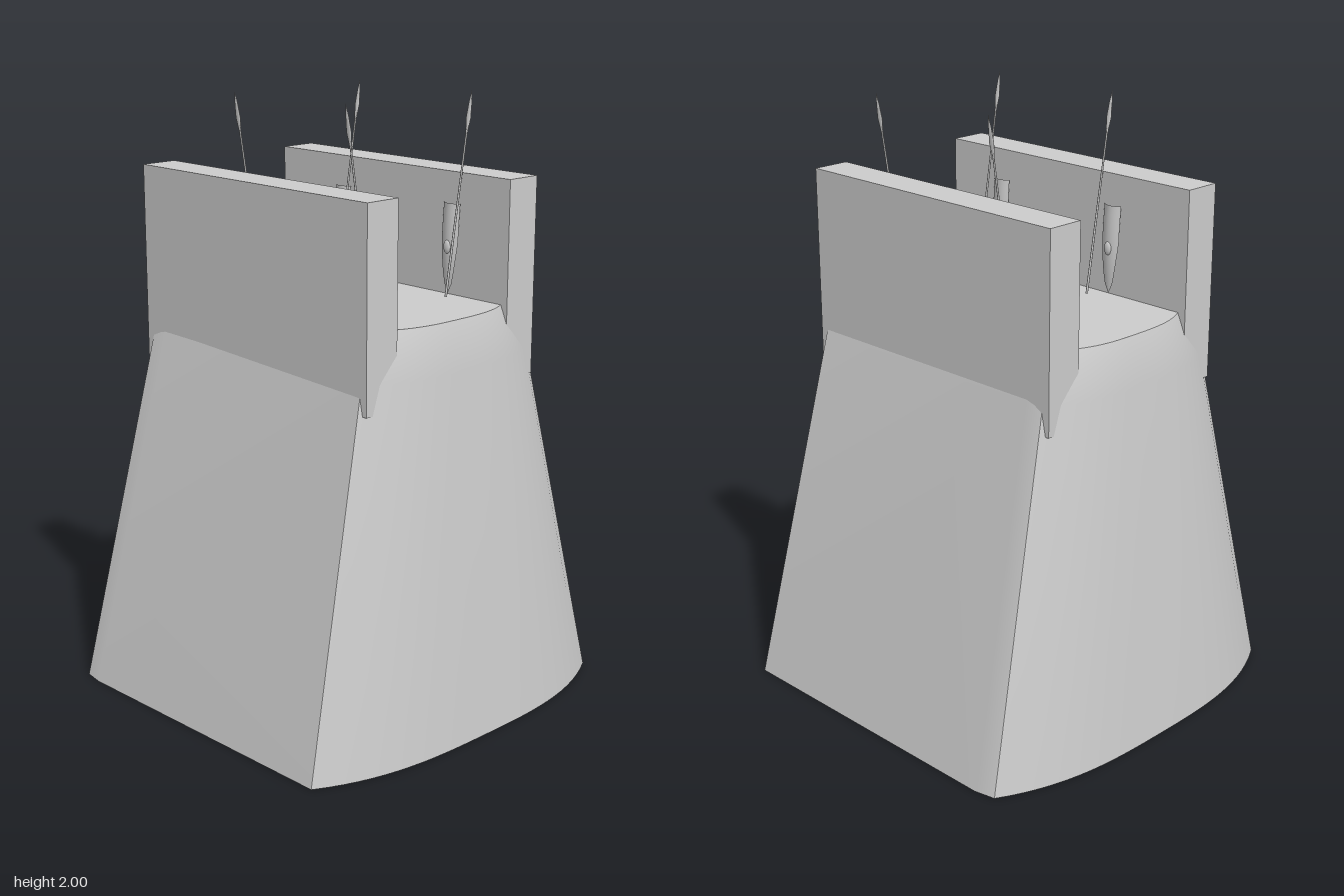
import * as THREE from 'three';

const stone = new THREE.MeshStandardMaterial({ color: 0xcccccc, side: THREE.DoubleSide });
stone.name = 'pale grey';

function add(parent, name, geometry) {
  const mesh = new THREE.Mesh(geometry, stone);
  mesh.name = name;
  parent.add(mesh);
  return mesh;
}

// Surface through a grid of points: u runs along a row, v from row to row
function gridSurface(rows) {
  const n = rows[0].length, positions = [], index = [];
  rows.forEach(row => row.forEach(p => positions.push(...p)));
  for (let j = 0; j < rows.length - 1; j++) {
    for (let i = 0; i < n - 1; i++) {
      const a = j * n + i, b = a + 1, c = b + n, d = a + n;
      index.push(a, b, c, a, c, d);
    }
  }
  const g = new THREE.BufferGeometry();
  g.setAttribute('position', new THREE.Float32BufferAttribute(positions, 3));
  g.setIndex(index);
  g.computeVertexNormals();
  return g;
}

// Levels of the tapered body: height, side bulge, corner x, corner z
const levels = [
  { y: 0, bulge: 0.683, cx: 0.56, cz: 0.66 },
  { y: 1.19, bulge: 0.58, cx: 0.49, cz: 0.378 },
  { y: 1.34, bulge: 0.535, cx: 0.46, cz: 0.3 },
];
// Front and back edges as fractions of the corner size, slightly uneven
const frontEdge = [[-1, 0.977], [-0.875, 0.993], [1, 0.967]];
const backEdge = [[1, -1], [-0.875, -1], [-1, -0.977]];

const edgeRow = (edge, l) => edge.map(([x, z]) => [x * l.cx, l.y, z * l.cz]);

// Bulging side, sign gives the direction of x
function sideRow(sign, from, to, l) {
  const row = [], steps = 28;
  for (let i = 0; i <= steps; i++) {
    const k = i / steps, t = from + (to - from) * k;
    const m = Math.abs(2 * k - 1);
    row.push([sign * (l.bulge - (l.bulge - l.cx) * m ** 3), l.y, t * l.cz]);
  }
  return row;
}

function buildBody() {
  const body = new THREE.Group();
  body.name = 'towerBody';
  const panels = {
    frontWall: l => edgeRow(frontEdge, l),
    leftWall: l => sideRow(1, 0.967, -1, l),
    backWall: l => edgeRow(backEdge, l),
    rightWall: l => sideRow(-1, -0.977, 0.977, l),
  };
  for (const [name, row] of Object.entries(panels)) add(body, name, gridSurface(levels.map(row)));

  // Flat platform closing the top; the base stays open
  const top = levels[2];
  const outline = Object.values(panels).flatMap(row => row(top).slice(0, -1));
  const shape = new THREE.Shape(outline.map(([x, , z]) => new THREE.Vector2(x, -z)));
  add(body, 'platform', new THREE.ShapeGeometry(shape).rotateX(-Math.PI / 2).translate(0, top.y, 0));
  return body;
}

// Curved shield with a flat top and tapering foot
function buildShield(x, s) {
  const shield = new THREE.Group();
  shield.name = 'shield';
  const rows = [];
  for (let j = 0; j <= 10; j++) {
    const v = j / 10, row = [];
    const half = 0.035 * Math.min(1, Math.sqrt(v * 1.7) + 0.02);
    for (let i = 0; i <= 8; i++) {
      const u = i / 4 - 1;
      const bow = 0.014 * (1 - (u * half / 0.035) ** 2) + 0.008 * Math.sin(Math.PI * v);
      row.push([x + u * half, 1.35 + 0.29 * v, s * (0.24 - bow)]);
    }
    rows.push(s < 0 ? row : row.reverse());
  }
  add(shield, 'shieldPlate', gridSurface(rows));
  const boss = add(shield, 'shieldBoss', new THREE.SphereGeometry(0.014, 12, 8));
  boss.scale.set(1, 1.6, 0.6);
  boss.position.set(x, 1.5, s * 0.219);
  return shield;
}

// Spear leaning outward against the parapet
function buildSpear(x, s) {
  const spear = new THREE.Group();
  spear.name = 'spear';
  add(spear, 'shaft', new THREE.CylinderGeometry(0.003, 0.004, 0.54, 8).translate(0, 0.27, 0));
  const profile = [[0.003, 0.5], [0.005, 0.53], [0.01, 0.57], [0.006, 0.62], [0, 0.657]];
  const head = add(spear, 'spearHead', new THREE.LatheGeometry(profile.map(p => new THREE.Vector2(...p)), 8));
  head.scale.z = 0.5;
  spear.position.set(x, 1.35, s * 0.17);
  spear.rotation.x = s * Math.atan2(0.105, 0.65);
  return spear;
}

export function createModel() {
  const model = new THREE.Group();
  model.name = 'tower';
  model.add(buildBody());

  // Parapets, each with two shields and two spears
  for (const s of [1, -1]) {
    const parapet = add(model, s > 0 ? 'frontParapet' : 'backParapet', new THREE.BoxGeometry(1.04, 0.64, 0.127));
    parapet.position.set(0, 1.42, s * 0.31);
    for (const x of [-0.215, 0.285]) {
      model.add(buildShield(x, s));
      model.add(buildSpear(x + 0.043, s));
    }
  }
  return model;
}
